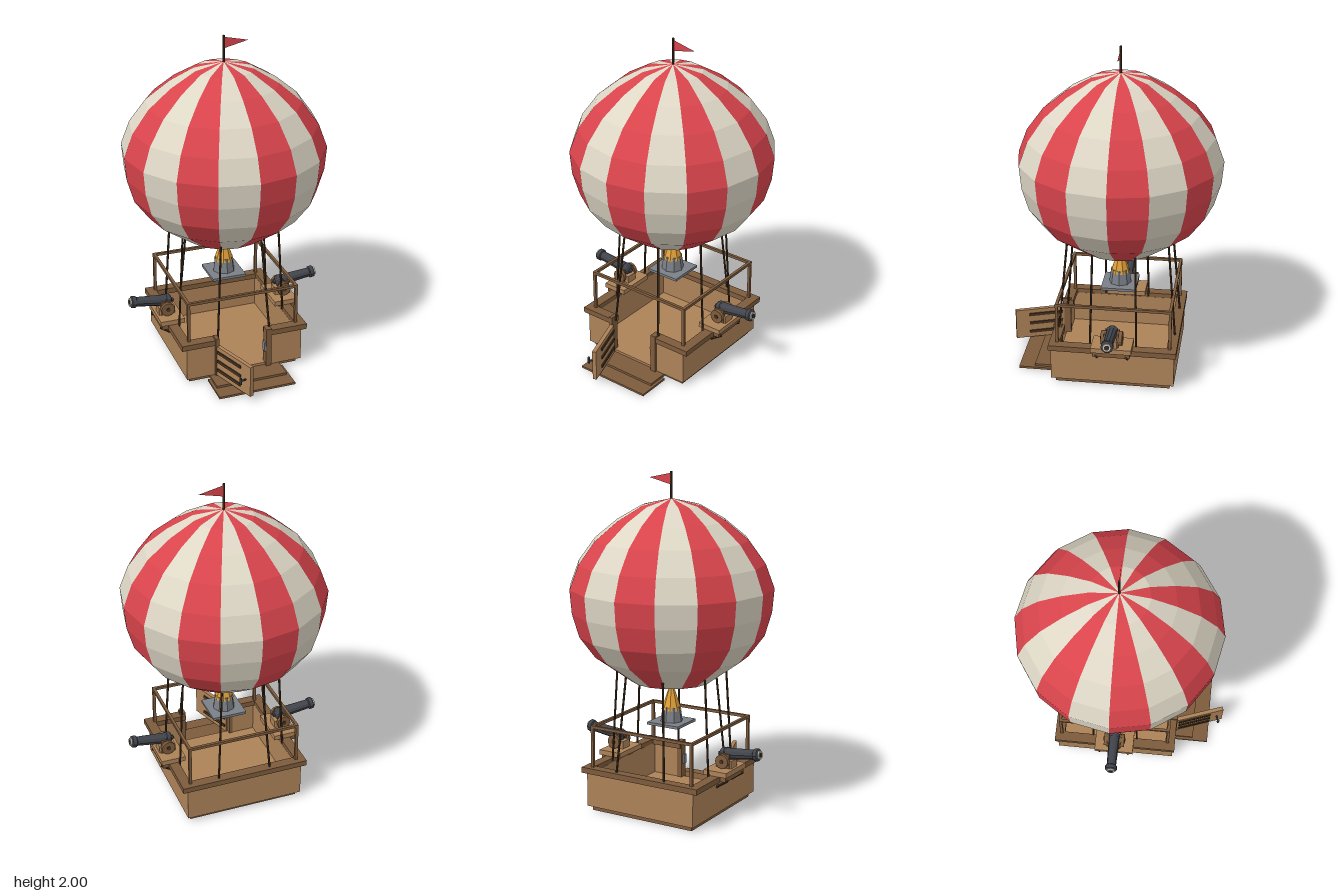
import * as THREE from 'three';

const mat = (name, color, side = THREE.FrontSide) =>
  Object.assign(new THREE.MeshStandardMaterial({ color, flatShading: true, side }), { name });

export function createModel() {
  const red = mat('red cloth', 0xd9444c, THREE.DoubleSide);
  const cream = mat('cream cloth', 0xded7c6);
  const wood = mat('light wood', 0xad8258);
  const trim = mat('brown wood', 0x7d5b3c);
  const dark = mat('dark brown', 0x45321f);
  const hollow = mat('dark hollow', 0x3a2a22);
  const iron = mat('dark iron', 0x41444b);
  const steel = mat('steel', 0x7b8087);
  const silver = mat('pale metal', 0xc9c8be);
  const fire = mat('flame orange', 0xe0a038);

  const model = new THREE.Group();
  model.name = 'hotAirBalloon';
  const CZ = -0.035; // centre line of balloon and basket

  const add = (parent, name, geo, material, x = 0, y = 0, z = 0) => {
    const m = new THREE.Mesh(geo, material);
    m.name = name;
    m.position.set(x, y, z);
    parent.add(m);
    return m;
  };
  // box given by its limits on each axis
  const box = (parent, name, material, x0, x1, y0, y1, z0, z1) =>
    add(parent, name, new THREE.BoxGeometry(x1 - x0, y1 - y0, z1 - z0), material,
      (x0 + x1) / 2, (y0 + y1) / 2, (z0 + z1) / 2);
  // rod between two points
  const rod = (parent, name, material, a, b, r, sides = 6) => {
    const p = new THREE.Vector3(...a), q = new THREE.Vector3(...b);
    const d = q.clone().sub(p);
    const m = add(parent, name, new THREE.CylinderGeometry(r, r, d.length(), sides), material);
    m.position.copy(p).add(q).multiplyScalar(0.5);
    m.quaternion.setFromUnitVectors(new THREE.Vector3(0, 1, 0), d.normalize());
    return m;
  };
  const group = (name, x = 0, y = 0, z = 0) => {
    const g = new THREE.Group();
    g.name = name;
    g.position.set(x, y, z);
    model.add(g);
    return g;
  };

  // Envelope: sixteen striped gores
  const envelope = group('envelope', 0, 0, CZ);
  const profile = [
    [0.24, 0.775], [0.455, 0.93], [0.547, 1.055], [0.588, 1.195], [0.6, 1.335],
    [0.548, 1.475], [0.45, 1.61], [0.317, 1.72], [0.172, 1.805], [0, 1.845],
  ].map(([r, y]) => new THREE.Vector2(r, y));
  const N = 16, step = (Math.PI * 2) / N;
  for (let i = 0; i < N; i++) {
    add(envelope, 'gore', new THREE.LatheGeometry(profile, 1, i * step, step), i % 2 ? cream : red);
  }
  const mouth = add(envelope, 'mouth', new THREE.CircleGeometry(0.24, N), hollow, 0, 0.777, 0);
  mouth.rotation.x = Math.PI / 2;

  // Flag and pole
  rod(envelope, 'flagPole', dark, [0, 1.83, 0], [0, 2, 0], 0.007);
  const pennant = new THREE.Shape([[0, 1.99], [0, 1.922], [0.148, 1.957]].map(p => new THREE.Vector2(...p)));
  add(envelope, 'pennant', new THREE.ShapeGeometry(pennant), red);

  // Basket walls, with a doorway in the front
  const basket = group('basket');
  const X = 0.362, ZF = 0.335, ZB = -0.4, T = 0.03;
  const gapL = -0.17, gapR = 0.135;
  box(basket, 'base', trim, -0.34, 0.34, 0, 0.03, -0.375, 0.31);
  box(basket, 'floor', wood, -X + 0.005, X - 0.005, 0.028, 0.045, ZB + 0.005, ZF - 0.005);
  box(basket, 'backWall', wood, -X, X, 0.03, 0.24, ZB, ZB + T);
  box(basket, 'frontWall', wood, -X, gapL, 0.03, 0.24, ZF - T, ZF);
  box(basket, 'frontWall', wood, gapR, X, 0.03, 0.24, ZF - T, ZF);
  for (const s of [-1, 1]) {
    const a = s * X, b = s * (X - T);
    box(basket, 'sideWall', wood, Math.min(a, b), Math.max(a, b), 0.03, 0.24, ZB + T, ZF - T);
  }

  // Rim boards
  const RX = 0.393, RW = 0.06, RF = 0.345, RB = -0.413;
  box(basket, 'backRim', trim, -RX, RX, 0.234, 0.268, RB, RB + RW);
  box(basket, 'frontRim', trim, -RX, gapL, 0.234, 0.268, RF - RW, RF);
  box(basket, 'frontRim', trim, gapR, RX, 0.234, 0.268, RF - RW, RF);
  box(basket, 'sideRim', trim, RX - RW, RX, 0.234, 0.268, RB + RW, RF - RW);
  box(basket, 'sideRim', trim, -RX, RX * -1 + RW, 0.234, 0.268, RB + RW, RF - RW);

  // Door posts and latch
  box(basket, 'doorPost', trim, gapL - 0.018, gapL + 0.004, 0.02, 0.28, 0.3, 0.35);
  box(basket, 'doorPost', trim, gapR - 0.004, gapR + 0.03, 0.02, 0.28, 0.3, 0.35);
  box(basket, 'latch', steel, gapR - 0.014, gapR - 0.002, 0.13, 0.19, 0.315, 0.345);

  // Boarding steps
  box(basket, 'upperStep', trim, -0.22, 0.22, 0.014, 0.03, 0.3, 0.46);
  box(basket, 'lowerStep', trim, -0.237, 0.237, 0.003, 0.016, 0.35, 0.555);

  // Open door, local x running from hinge to free edge, outer face on -z
  const door = group('door', gapL, 0, 0.345);
  door.rotation.y = -1.23;
  box(door, 'doorPanel', wood, 0, 0.305, 0.035, 0.23, -0.012, 0.012);
  for (const s of [-1, 1]) {
    for (const y of [0.075, 0.135, 0.195]) {
      box(door, 'doorStrap', dark, 0.01, 0.22, y - 0.009, y + 0.009, s * 0.015 - 0.004, s * 0.015 + 0.004);
    }
  }
  // the doorway's outside is on the hinge-left side of the opened panel
  rod(door, 'doorHandle', iron, [0.265, 0.135, 0.01], [0.265, 0.135, 0.05], 0.006);
  rod(door, 'doorHandleGrip', iron, [0.265, 0.115, 0.05], [0.265, 0.155, 0.05], 0.008);

  // Railing
  const rail = group('railing');
  const PX = 0.337, PF = 0.298, PB = -0.372, h = 0.0085;
  for (const x of [-PX, PX]) {
    for (const z of [PF, PB]) box(rail, 'railPost', trim, x - h, x + h, 0.26, 0.51, z - h, z + h);
    box(rail, 'sideRail', trim, x - h, x + h, 0.505, 0.522, PB - h, PF + h);
  }
  for (const z of [PF, PB]) box(rail, 'crossRail', trim, -PX, PX, 0.505, 0.522, z - h, z + h);

  // Eight ropes from envelope to rim
  const ropes = group('ropes', 0, 0, CZ);
  for (const sx of [-1, 1]) {
    for (const sz of [-1, 1]) {
      rod(ropes, 'rope', dark, [sx * 0.125, 0.835, sz * 0.3], [sx * 0.163, 0.25, sz * 0.352], 0.0065);
      rod(ropes, 'rope', dark, [sx * 0.3, 0.835, sz * 0.125], [sx * 0.333, 0.25, sz * 0.138], 0.0065);
    }
  }

  // Burner
  const burner = group('burner', 0, 0, CZ);
  box(burner, 'burnerPlate', steel, -0.105, 0.105, 0.505, 0.521, -0.105, 0.105);
  add(burner, 'burnerCup', new THREE.CylinderGeometry(0.055, 0.067, 0.09, 8), steel, 0, 0.565, 0);
  const flame = add(burner, 'flame', new THREE.ConeGeometry(0.06, 0.18, 8), fire, 0, 0.68, 0);
  flame.rotation.y = Math.PI / 8;

  // Cannons on side platforms, the second one turned to face the other way
  for (const side of [1, -1]) {
    const gun = group(side > 0 ? 'leftCannon' : 'rightCannon', 0, 0, CZ);
    gun.rotation.y = side > 0 ? 0 : Math.PI;
    box(gun, 'platform', wood, 0.29, 0.44, 0.268, 0.298, -0.12, 0.12);
    box(gun, 'platformBeam', trim, 0.37, 0.43, 0.238, 0.268, -0.11, 0.11);
    for (const z of [-0.09, 0.09]) {
      rod(gun, 'brace', dark, [0.36, 0.195, z], [0.435, 0.245, z], 0.008, 4);
    }
    box(gun, 'carriage', wood, 0.325, 0.425, 0.298, 0.345, -0.035, 0.035);
    for (const s of [-1, 1]) {
      box(gun, 'carriageCheek', trim, 0.35, 0.415, 0.3, 0.385, s * 0.036 - 0.007, s * 0.036 + 0.007);
      const wheel = add(gun, 'wheel', new THREE.CylinderGeometry(0.042, 0.042, 0.02, 12), trim, 0.376, 0.342, s * 0.053);
      wheel.rotation.x = Math.PI / 2;
      const hub = add(gun, 'hub', new THREE.CylinderGeometry(0.013, 0.013, 0.03, 8), dark, 0.376, 0.342, s * 0.053);
      hub.rotation.x = Math.PI / 2;
    }
    // barrel turned along its own length, muzzle slightly raised
    const barrel = new THREE.Group();
    barrel.name = 'barrel';
    barrel.position.set(0.345, 0.373, 0);
    barrel.rotation.z = 0.12 - Math.PI / 2;
    gun.add(barrel);
    const tube = [
      [0, -0.025], [0.013, -0.018], [0.013, -0.008], [0.03, 0], [0.038, 0.012], [0.038, 0.03],
      [0.034, 0.035], [0.029, 0.215], [0.037, 0.22], [0.037, 0.243], [0.03, 0.247], [0, 0.247],
    ].map(([r, y]) => new THREE.Vector2(r, y));
    add(barrel, 'gunTube', new THREE.LatheGeometry(tube, 10), iron);
    add(barrel, 'muzzleRing', new THREE.CylinderGeometry(0.025, 0.025, 0.012, 10), silver, 0, 0.25, 0);
    add(barrel, 'bore', new THREE.CylinderGeometry(0.015, 0.015, 0.004, 10), hollow, 0, 0.256, 0);
  }
  return model;
}
